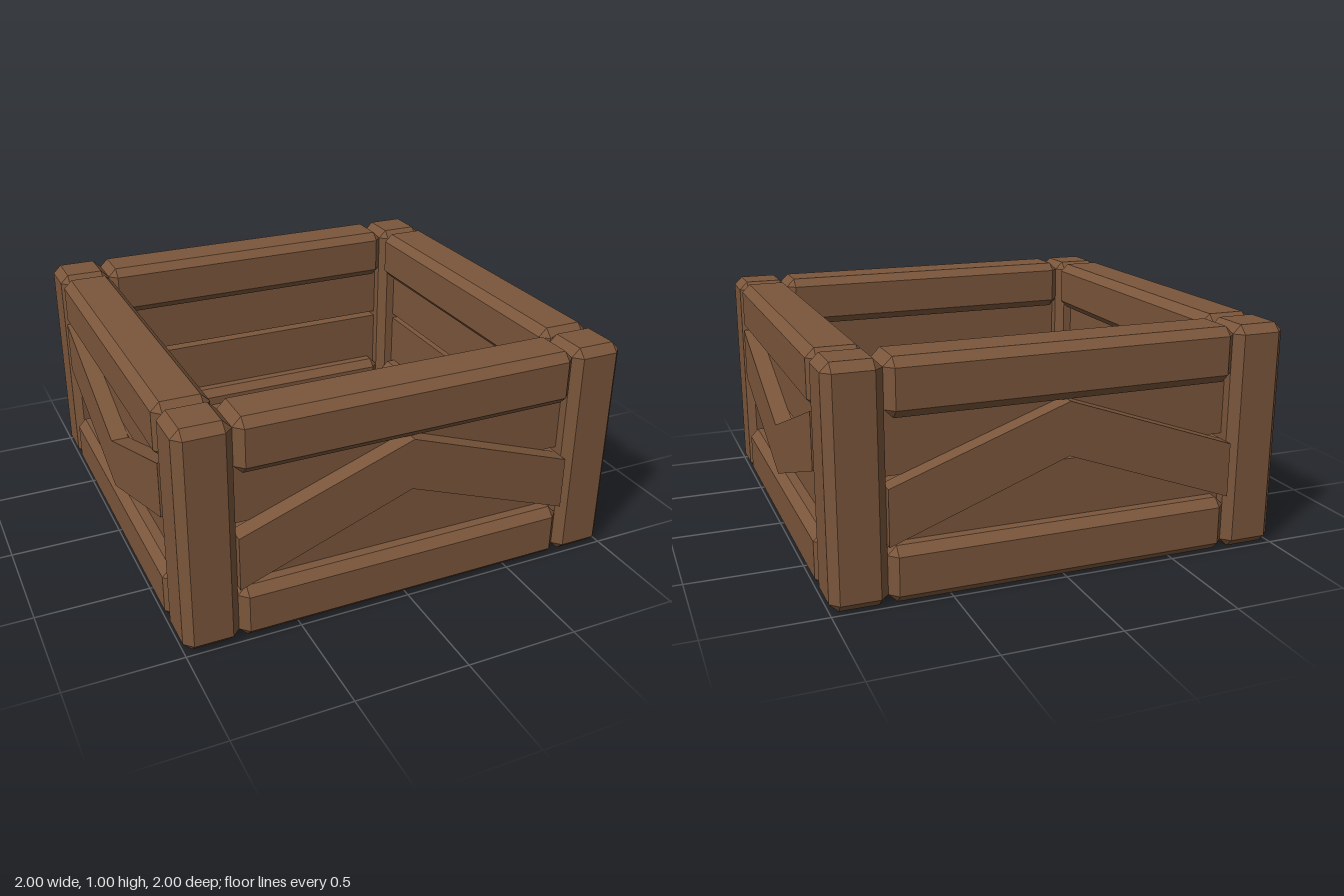
import * as THREE from 'three';
import { ConvexGeometry } from 'three/addons/geometries/ConvexGeometry.js';

const wood = new THREE.MeshStandardMaterial({ color: 0x7b563b });
wood.name = 'brown wood';

const BEAM = 0.24;       // thickness of posts and rails
const SPAN = 1.52;       // clear length between posts
const CHAMFER = 0.037;

function add(parent, name, geometry, x, y, z) {
  const mesh = new THREE.Mesh(geometry, wood);
  mesh.name = name;
  mesh.position.set(x, y, z);
  parent.add(mesh);
  return mesh;
}

// Box with every edge and corner cut off
function chamferedBox(w, h, d, c = CHAMFER) {
  const points = [];
  for (const sx of [-1, 1]) for (const sy of [-1, 1]) for (const sz of [-1, 1]) {
    const x = w / 2, y = h / 2, z = d / 2;
    points.push(
      new THREE.Vector3(sx * x, sy * (y - c), sz * (z - c)),
      new THREE.Vector3(sx * (x - c), sy * y, sz * (z - c)),
      new THREE.Vector3(sx * (x - c), sy * (y - c), sz * z));
  }
  return new ConvexGeometry(points);
}

// Bent brace: peak up, or valley down
function braceGeometry(peakUp) {
  const e = SPAN / 2;
  const [endLow, endHigh, midLow, midHigh] = peakUp
    ? [0.25, 0.49, 0.53, 0.76]
    : [0.515, 0.76, 0.245, 0.48];
  const shape = new THREE.Shape([
    [-e, endLow], [0, midLow], [e, endLow], [e, endHigh], [0, midHigh], [-e, endHigh],
  ].map(([x, y]) => new THREE.Vector2(x, y)));
  return new THREE.ExtrudeGeometry(shape, { depth: 0.08, bevelEnabled: false });
}

// One wall facing +z: two rails, two boards and a brace
function wall(name, peakUp) {
  const group = new THREE.Group();
  group.name = name;
  const rail = chamferedBox(SPAN, BEAM, BEAM);
  add(group, 'bottomRail', rail, 0, 0.12, 0.88);
  add(group, 'topRail', rail, 0, 0.88, 0.88);
  for (const [label, low, high] of [['lowerBoard', 0.2, 0.49], ['upperBoard', 0.515, 0.8]]) {
    add(group, label, new THREE.BoxGeometry(SPAN + 0.08, high - low, 0.08), 0, (low + high) / 2, 0.88);
  }
  add(group, 'brace', braceGeometry(peakUp), 0, 0, 0.918);
  return group;
}

export function createModel() {
  const crate = new THREE.Group();
  crate.name = 'openCrate';

  // Corner posts
  const post = chamferedBox(BEAM, 1, BEAM);
  for (const x of [-0.88, 0.88]) for (const z of [-0.88, 0.88]) {
    add(crate, 'cornerPost', post, x, 0.5, z);
  }

  // Walls: peaked braces front and back, valley braces on the sides
  ['frontWall', 'leftWall', 'backWall', 'rightWall'].forEach((name, i) => {
    const side = wall(name, i % 2 === 0);
    side.rotation.y = i * Math.PI / 2;
    crate.add(side);
  });

  // Floor slats
  const slat = new THREE.BoxGeometry(1.64, 0.08, 0.32);
  for (let i = -2; i <= 2; i++) add(crate, 'floorSlat', slat, 0, 0.12, i * 0.34);

  return crate;
}
